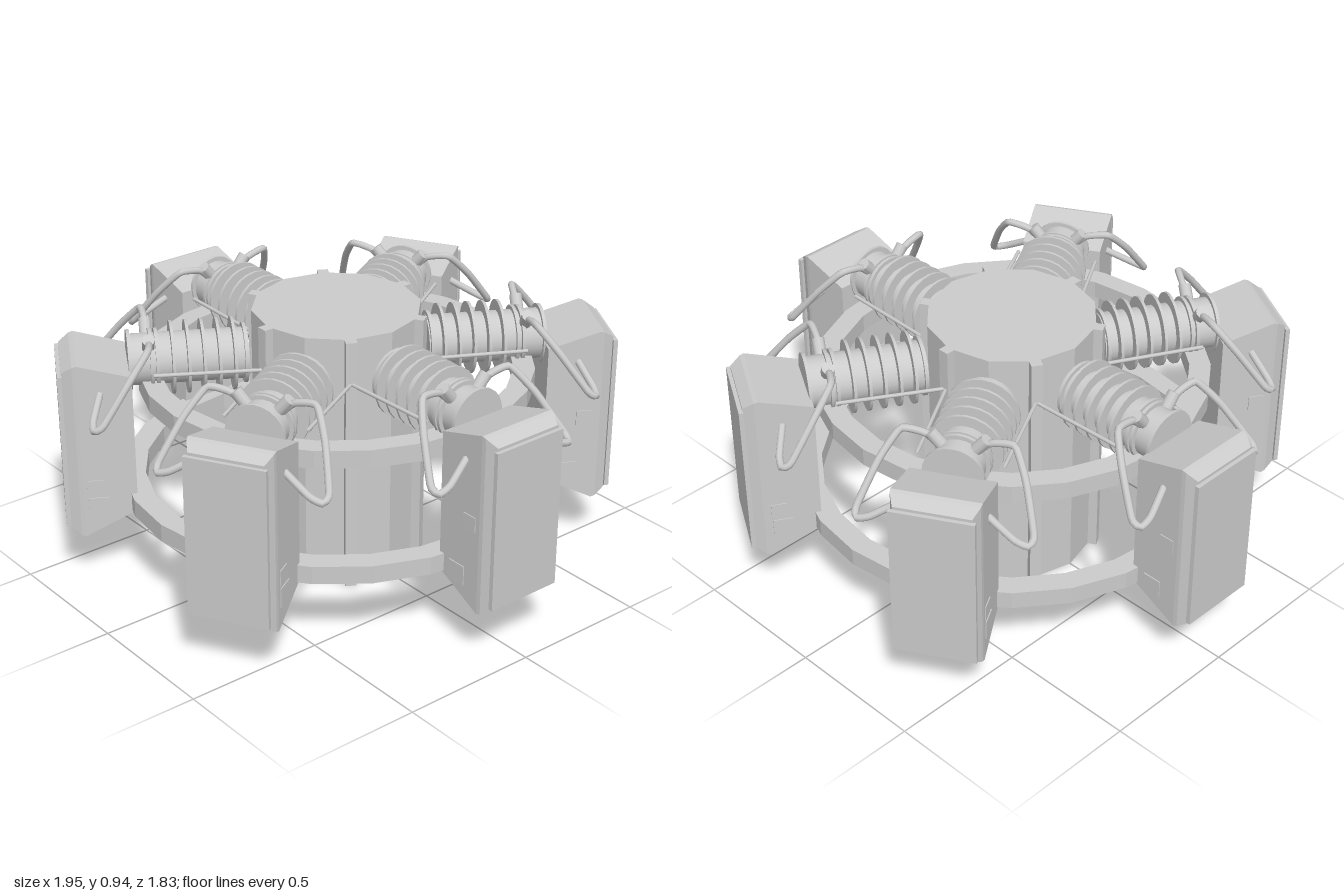
import * as THREE from 'three';

const flat = new THREE.MeshStandardMaterial({ color: 0xcccccc, flatShading: true, side: THREE.DoubleSide });
const smooth = new THREE.MeshStandardMaterial({ color: 0xcccccc });

function add(parent, name, geometry, material = smooth, x = 0, y = 0, z = 0) {
  const mesh = new THREE.Mesh(geometry, material);
  mesh.name = name;
  mesh.position.set(x, y, z);
  parent.add(mesh);
  return mesh;
}

// Solid through rectangles [x, halfWidth, yBottom, yTop] stacked along +x
function loftRects(rects) {
  const pos = [], idx = [];
  for (const [x, w, y0, y1] of rects) pos.push(x, y0, -w, x, y1, -w, x, y1, w, x, y0, w);
  for (let i = 0; i < rects.length - 1; i++) {
    for (let j = 0; j < 4; j++) {
      const a = i * 4 + j, b = i * 4 + (j + 1) % 4;
      idx.push(a, b, b + 4, a, b + 4, a + 4);
    }
  }
  const e = (rects.length - 1) * 4;
  idx.push(0, 2, 1, 0, 3, 2, e, e + 1, e + 2, e, e + 2, e + 3);
  const g = new THREE.BufferGeometry();
  g.setAttribute('position', new THREE.Float32BufferAttribute(pos, 3));
  g.setIndex(idx);
  g.computeVertexNormals();
  return g;
}

// Square-section hoop around the column
function hoop(inner, outer, y0, y1) {
  const profile = [[inner, y0], [outer, y0], [outer, y1], [inner, y1], [inner, y0]];
  return new THREE.LatheGeometry(profile.map(p => new THREE.Vector2(...p)), 24);
}

// Disc or drum lying along x
function drum(radius, length) {
  return new THREE.CylinderGeometry(radius, radius, length, 24).rotateZ(Math.PI / 2);
}

function tube(points, radius, segments) {
  const curve = new THREE.CatmullRomCurve3(points.map(p => new THREE.Vector3(...p)), false, 'catmullrom', 0.25);
  return new THREE.TubeGeometry(curve, segments, radius, 8);
}

// One antenna arm pointing along +x
function createArm() {
  const arm = new THREE.Group();
  const axisY = 0.785;

  // Panel housing with tapered back and separate cover plate
  add(arm, 'panelHousing', loftRects([
    [0.725, 0.148, 0.275, 0.785],
    [0.91, 0.15, 0.185, 0.84],
    [0.925, 0.148, 0.19, 0.835],
    [0.962, 0.13, 0.215, 0.81],
  ]), flat);
  add(arm, 'panelCover', new THREE.BoxGeometry(0.016, 0.575, 0.285), flat, 0.968, 0.512, 0);

  // Small side plates
  for (const [x, y, z, s] of [[0.865, 0.51, 0.15, 0.055], [0.81, 0.3, 0.15, 0.07],
    [0.87, 0.375, -0.15, 0.055], [0.86, 0.3, -0.15, 0.07]]) {
    add(arm, 'sidePlate', new THREE.BoxGeometry(s, s, 0.006), flat, x, y, z);
  }

  // Finned radio cylinder
  add(arm, 'radioCore', drum(0.09, 0.41), smooth, 0.52, axisY);
  for (const x of [0.325, 0.63, 0.65, 0.725]) {
    add(arm, 'radioCollar', drum(0.105, 0.012), smooth, x, axisY);
  }
  for (let i = 0; i < 5; i++) {
    add(arm, 'coolingFin', drum(0.128, 0.01), smooth, 0.365 + i * 0.053, axisY);
  }

  for (const s of [-1, 1]) {
    // Cable from the radio to the panel side
    add(arm, 'cable', tube([
      [0.66, 0.84, 0.06 * s], [0.66, 0.885, 0.11 * s], [0.67, 0.895, 0.19 * s],
      [0.74, 0.81, 0.245 * s], [0.835, 0.68, 0.295 * s], [0.865, 0.66, 0.285 * s],
      [0.865, 0.675, 0.24 * s], [0.835, 0.73, 0.145 * s],
    ], 0.013, 40));
    const plug = add(arm, 'cablePlug', new THREE.CylinderGeometry(0.022, 0.022, 0.06, 10),
      smooth, 0.66, 0.872, 0.075 * s);
    plug.rotation.x = 0.7 * s;

    // Thin stay beside the radio
    add(arm, 'stayRod', tube([[0.28, axisY, 0.157 * s], [0.46, axisY, 0.152 * s],
      [0.65, axisY, 0.147 * s]], 0.007, 4));
  }
  return arm;
}

export function createModel() {
  const model = new THREE.Group();
  model.name = 'antennaRing';

  // Faceted central column, open below
  add(model, 'column', new THREE.CylinderGeometry(0.298, 0.298, 0.94, 12, 1, true), flat, 0, 0.47, 0);
  add(model, 'columnTop', new THREE.CircleGeometry(0.298, 12).rotateX(-Math.PI / 2), flat, 0, 0.94, 0);

  // Support hoops
  add(model, 'lowerHoop', hoop(0.685, 0.765, 0.275, 0.34), flat);
  add(model, 'upperHoop', hoop(0.62, 0.695, 0.665, 0.73), flat);

  for (let i = 0; i < 6; i++) {
    const arm = createArm();
    arm.name = 'antennaArm';
    arm.rotation.y = i * Math.PI / 3;
    model.add(arm);

    // Vertical rib between arms
    const a = (i + 0.5) * Math.PI / 3;
    const rib = add(model, 'columnRib', new THREE.BoxGeometry(0.04, 0.94, 0.04), flat,
      0.305 * Math.cos(a), 0.47, -0.305 * Math.sin(a));
    rib.rotation.y = a;
  }
  return model;
}
